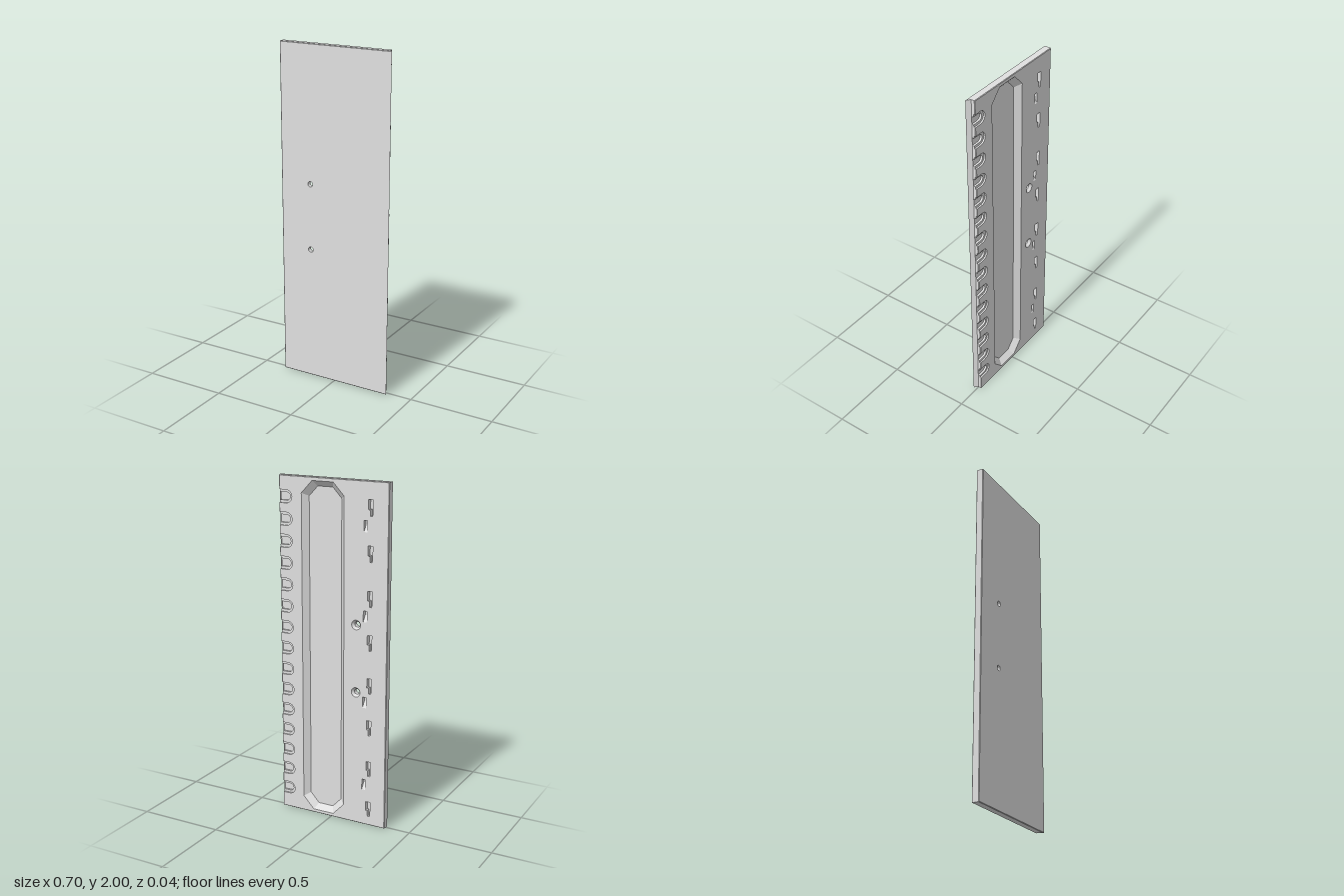
import * as THREE from 'three';

const BACK = -0.0215, STEP = -0.012, MID = 0, FRONT = 0.0215;
const L = -0.35, R = 0.33, LIP = 0.35, CH = 0.003;

const V = (x, y) => new THREE.Vector2(x, y);
// counter-clockwise outlines
const rect = (x0, y0, x1, y1) => [V(x0, y0), V(x1, y0), V(x1, y1), V(x0, y1)];
const circle = (x, y, r, n = 24) => Array.from({ length: n }, (_, i) => {
  const a = i / n * Math.PI * 2;
  return V(x + r * Math.cos(a), y + r * Math.sin(a));
});
const octagon = (x0, y0, x1, y1, cx, cy) => [
  V(x0 + cx, y0), V(x1 - cx, y0), V(x1, y0 + cy), V(x1, y1 - cy),
  V(x1 - cx, y1), V(x0 + cx, y1), V(x0, y1 - cy), V(x0, y0 + cy)];

// edge notch of half height h, open to the right, with a round inner end
const notchY = Array.from({ length: 15 }, (_, i) => 0.125 + i * 0.1255);
function notch(y, h, mouth = R) {
  const pts = [V(mouth, y - h)];
  for (let k = 0; k <= 10; k++) {
    const a = k / 10 * Math.PI;
    pts.push(V(0.285 - h * Math.sin(a), y - h * Math.cos(a)));
  }
  return [...pts, V(mouth, y + h)];
}
// panel outline inset by c, with notches of half height h
const notched = (h, c) => [V(L + c, c), V(R - c, c),
  ...notchY.flatMap(y => notch(y, h, R - c)), V(R - c, 2 - c), V(L + c, 2 - c)];

// flat face with holes, looking to +z or -z
function face(outline, holes, z, back) {
  const shape = new THREE.Shape(outline);
  holes.forEach(h => shape.holes.push(new THREE.Path(h)));
  const g = new THREE.ShapeGeometry(shape);
  if (back) {
    const idx = g.index.array;
    for (let i = 0; i < idx.length; i += 3) [idx[i], idx[i + 1]] = [idx[i + 1], idx[i]];
    g.computeVertexNormals();
  }
  return g.translate(0, 0, z);
}

// wall between two matching rings, za < zb; cavities face inwards
function wall(a, za, b, zb, cavity = false) {
  if (cavity) { a = [...a].reverse(); b = [...b].reverse(); }
  const p = [];
  a.forEach((a0, i) => {
    const j = (i + 1) % a.length, a1 = a[j], b0 = b[i], b1 = b[j];
    p.push(a0.x, a0.y, za, a1.x, a1.y, za, b1.x, b1.y, zb);
    p.push(a0.x, a0.y, za, b1.x, b1.y, zb, b0.x, b0.y, zb);
  });
  const g = new THREE.BufferGeometry();
  g.setAttribute('position', new THREE.Float32BufferAttribute(p, 3));
  g.computeVertexNormals();
  return g;
}

export function createModel() {
  const group = new THREE.Group();
  const grey = new THREE.MeshStandardMaterial({ color: 0xdfdfdf, side: THREE.DoubleSide });
  grey.name = 'lightGrey';
  const add = (name, geometry) => {
    const m = new THREE.Mesh(geometry, grey);
    m.name = name;
    group.add(m);
  };

  // cavities in the back face
  const pocket = octagon(-0.081, 0.02, 0.187, 1.98, 0.068, 0.072);
  const pocketFloor = octagon(-0.049, 0.052, 0.155, 1.948, 0.055, 0.058);
  const screwY = [0.805, 1.2];
  const sinks = screwY.map(y => circle(-0.158, y, 0.028));
  const bores = screwY.map(y => circle(-0.158, y, 0.016));
  // each slot has a mouth and a floor outline
  const slots = [];
  for (let i = 0; i < 8; i++) {
    const y = 0.1 + i * 0.251;
    const s = [V(-0.253, y - 0.045), V(-0.24, y - 0.045), V(-0.238, y - 0.01),
      V(-0.228, y - 0.01), V(-0.228, y + 0.045), V(-0.256, y + 0.045), V(-0.256, y - 0.01)];
    slots.push([s, s]);
  }
  for (let i = 0; i < 4; i++) {
    const y = 0.25 + i * 0.502;
    slots.push([rect(-0.224, y - 0.032, -0.202, y + 0.032),
      rect(-0.224, y + 0.005, -0.202, y + 0.032)]);
  }

  // panel faces and chamfered rim, with the undercut lip along the right edge
  const wide = 0.037, narrow = 0.022;
  const backOutline = notched(wide, CH), body = notched(wide, 0), inner = notched(narrow, 0);
  const lip = rect(L, 0, LIP - CH, 2), front = rect(L + CH, CH, LIP, 2 - CH);
  add('frontFace', face(front, bores, FRONT, false));
  add('backFace', face(backOutline, [pocket, ...sinks, ...slots.map(s => s[0])], BACK, true));
  add('backChamfer', wall(backOutline, BACK, body, BACK + CH));
  add('outerRim', wall(body, BACK + CH, body, STEP));
  add('innerRim', wall(inner, STEP, inner, MID));
  add('bevelledLip', wall(rect(L, 0, R, 2), MID, lip, FRONT - CH));
  add('frontChamfer', wall(lip, FRONT - CH, front, FRONT));

  // stepped floors of the edge notches
  notchY.forEach(y => {
    const deep = notch(y, narrow);
    add('notchStep', face([...notch(y, wide), ...[...deep].reverse()], [], STEP, true));
    add('notchFloor', face(deep, [], MID, true));
  });

  // long recessed pocket
  add('pocketWall', wall(pocket, BACK, pocketFloor, 0.0105, true));
  add('pocketFloor', face(pocketFloor, [], 0.0105, true));

  // countersunk screw holes
  sinks.forEach((s, i) => {
    add('countersink', wall(s, BACK, bores[i], -0.006, true));
    add('screwBore', wall(bores[i], -0.006, bores[i], FRONT, true));
  });

  // blind slots
  slots.forEach(([mouth, floor]) => {
    add('slotWall', wall(mouth, BACK, floor, 0.004, true));
    add('slotFloor', face(floor, [], 0.004, true));
  });

  return group;
}
